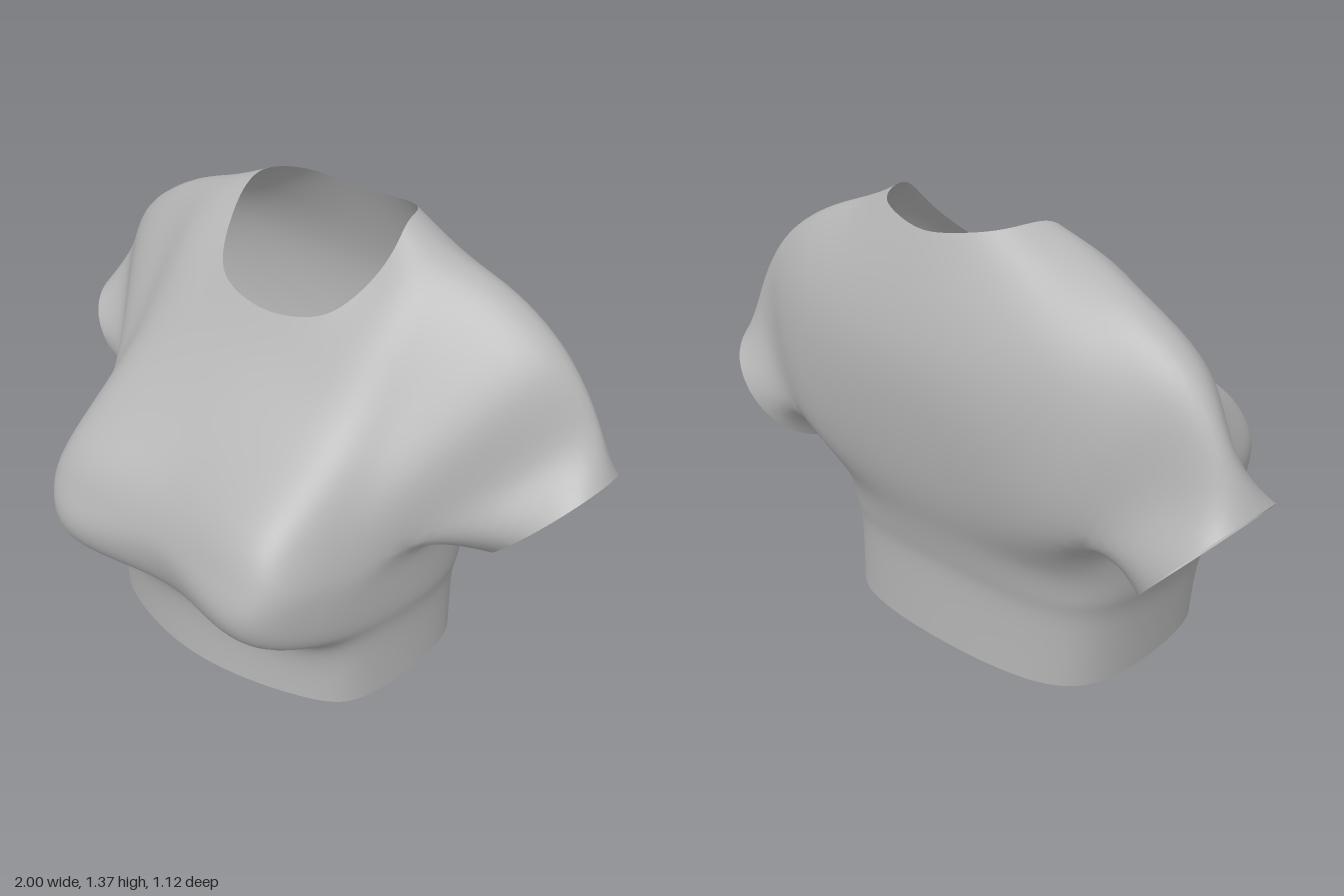
import * as THREE from 'three';

const V = (x = 0, y = 0, z = 0) => new THREE.Vector3(x, y, z);

// Half ring from front centre round the left side to back centre, with a point between each two keys
function halfRing(keys) {
  const mirrored = keys.slice(1, -1).reverse().map((p) => V(-p.x, p.y, p.z));
  const curve = new THREE.CatmullRomCurve3([...keys, ...mirrored], true, 'catmullrom');
  const steps = 2 * (keys.length - 1);
  return Array.from({ length: steps + 1 }, (_, i) => curve.getPoint(i / (2 * steps)));
}

// Yoke ring: front centre, chest, front of armhole, shoulder top, back of armhole, back centre
const yokeRing = (front, chest, armFront, top, armBack, back) =>
  halfRing([V(0, ...front), V(...chest), V(...armFront), V(...top), V(...armBack), V(0, ...back)]);

// Body ring from its height, half width and depths; the sides hang a little lower
const bodyRing = (y, w, zFront, zBust, zBack) => halfRing([
  V(0, y, zFront), V(.72 * w, y - .01, zBust), V(w, y - .03, .33 * zFront),
  V(.92 * w, y - .03, .72 * zBack), V(0, y - .01, zBack),
]);

// Sleeve opening: a tilted ellipse, from the front over the top to the underarm
const cuffRing = () => [120, 60, 0, -60, -120, 180].map((deg) => {
  const a = THREE.MathUtils.degToRad(deg);
  return V(.845 + .155 * Math.cos(a), .62 + .17 * Math.cos(a), -.275 + .2 * Math.sin(a));
});

// Joins the sections into a symmetric cage of quads
function buildCage() {
  const yoke = [
    yokeRing([1.105, .04], [.2, 1.145, 0], [.285, 1.26, -.12], [.285, 1.37, -.24], [.21, 1.36, -.38], [1.33, -.435]),
    yokeRing([.98, .14], [.26, 1, .11], [.41, 1.15, -.04], [.43, 1.31, -.24], [.35, 1.25, -.42], [1.22, -.485]),
    yokeRing([.84, .285], [.34, .85, .25], [.5, .93, .06], [.6, 1.245, -.26], [.5, 1.08, -.48], [1.03, -.545]),
    yokeRing([.69, .43], [.39, .69, .445], [.56, .74, .14], [.8, 1.12, -.28], [.56, .84, -.5], [.82, -.55]),
    yokeRing([.56, .5], [.44, .56, .51], [.6, .58, .1], [.92, .95, -.31], [.58, .6, -.46], [.6, -.52]),
  ];
  const body = [
    bodyRing(.46, .56, .51, .55, -.475),
    bodyRing(.345, .545, .47, .485, -.445),
    bodyRing(.255, .525, .4, .335, -.435),
    bodyRing(.04, .51, .395, .31, -.44),
  ];
  // the last yoke ring splits into the body and the sleeve
  const last = yoke[yoke.length - 1], under = V(.61, .54, -.14), cuff = cuffRing();
  body.unshift([...last.slice(0, 5), under, ...last.slice(8)]);
  const sleeve = [[...last.slice(4, 9), under, last[4]], [...cuff, cuff[0]]];

  const points = [], faces = [], seam = new Map();
  for (const side of [1, -1]) {
    const ids = new Map(seam);
    const id = (p) => {
      if (!ids.has(p)) {
        ids.set(p, points.push(V(p.x * side, p.y, p.z)) - 1);
        if (p.x === 0) seam.set(p, ids.get(p));
      }
      return ids.get(p);
    };
    for (const rows of [yoke, body, sleeve]) {
      for (let r = 0; r + 1 < rows.length; r++) {
        const a = rows[r], b = rows[r + 1];
        for (let i = 0; i + 1 < a.length; i++) {
          const quad = [a[i], b[i], b[i + 1], a[i + 1]].map(id);
          faces.push(side > 0 ? quad : quad.reverse());
        }
      }
    }
  }
  // the hem and neckline sit slightly to the left
  for (const p of points) {
    p.x += .03 * Math.max(0, 1 - p.y / .5);
    if (Math.abs(p.x) < .32 && p.y > 1.1) p.x += .01;
  }
  return { points, faces };
}

// One step of Catmull-Clark subdivision with open borders; old points keep their indices
function subdivide({ points, faces }) {
  const out = points.map(() => V()), edges = new Map(), next = [];
  const info = points.map(() => ({ f: V(), n: 0, e: V(), ne: 0, b: V(), nb: 0 }));
  const key = (a, b) => Math.min(a, b) * 100000 + Math.max(a, b);
  const centres = faces.map((f) => {
    const c = V();
    f.forEach((i) => c.addScaledVector(points[i], 1 / 4));
    f.forEach((a, k) => {
      info[a].f.add(c);
      info[a].n++;
      const b = f[(k + 1) % 4], id = key(a, b);
      if (!edges.has(id)) edges.set(id, { a, b, sum: V(), count: 0 });
      const e = edges.get(id);
      e.sum.add(c);
      e.count++;
    });
    return out.push(c) - 1;
  });
  for (const e of edges.values()) {
    const mid = points[e.a].clone().add(points[e.b]).multiplyScalar(.5);
    for (const i of [e.a, e.b]) {
      info[i].e.add(mid);
      info[i].ne++;
      if (e.count === 1) { info[i].b.add(mid); info[i].nb++; }
    }
    const p = e.count === 1 ? mid : mid.multiplyScalar(.5).addScaledVector(e.sum, .25);
    e.id = out.push(p) - 1;
  }
  points.forEach((p, i) => {
    const s = info[i];
    if (s.nb) out[i].copy(p).multiplyScalar(.5).addScaledVector(s.b, .5 / s.nb);
    else out[i].copy(p).multiplyScalar((s.n - 3) / s.n)
      .addScaledVector(s.f, 1 / (s.n * s.n)).addScaledVector(s.e, 2 / (s.n * s.ne));
  });
  faces.forEach((f, j) => f.forEach((a, k) => {
    const after = edges.get(key(a, f[(k + 1) % 4])).id;
    const before = edges.get(key(f[(k + 3) % 4], a)).id;
    next.push([a, after, centres[j], before]);
  }));
  return { points: out, faces: next };
}

// Smooths the cage while keeping the surface on the section points
function smoothSurface(cage) {
  const target = cage.points.map((p) => p.clone());
  for (let pass = 0; pass < 6; pass++) {
    const s = subdivide(subdivide(cage));
    cage.points.forEach((p, i) => p.add(target[i]).sub(s.points[i]));
  }
  return subdivide(subdivide(subdivide(cage)));
}

export function createModel() {
  const fabric = new THREE.MeshStandardMaterial({ color: 0xb4b4b4, side: THREE.DoubleSide });
  fabric.name = 'grey fabric';

  const { points, faces } = smoothSurface(buildCage());
  const geometry = new THREE.BufferGeometry().setFromPoints(points);
  geometry.setIndex(faces.flatMap(([a, b, c, d]) => [a, b, c, a, c, d]));
  geometry.computeVertexNormals();

  const shirt = new THREE.Mesh(geometry, fabric);
  shirt.name = 'croppedShirt';
  const group = new THREE.Group();
  group.name = 'croppedTop';
  group.add(shirt);
  return group;
}
